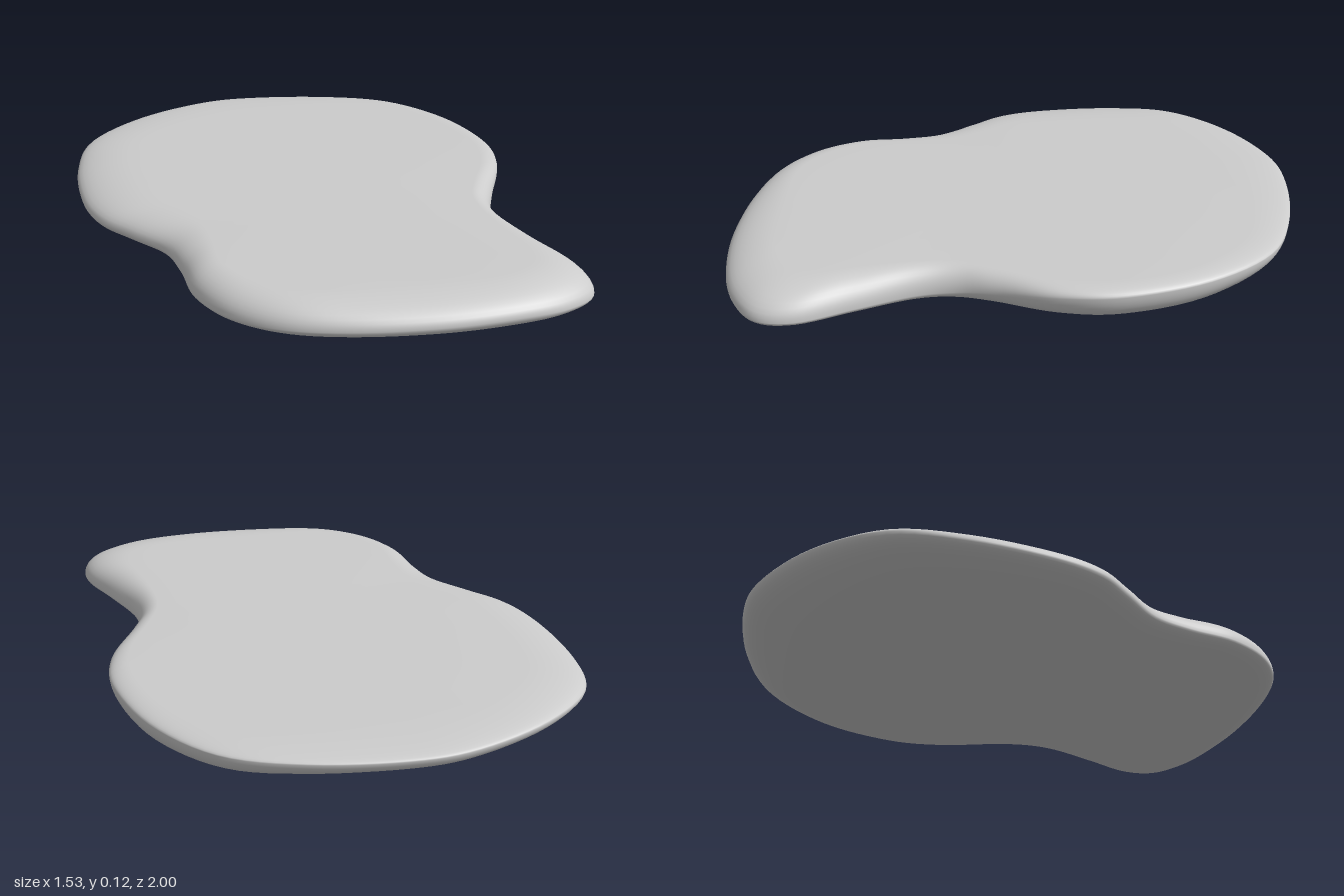
import * as THREE from 'three';

// Rim control points, clockwise seen from above:
// [x, z, rim height, width of top rounding, width of bottom rounding]
const RIM = [
  [-0.12, -1.0, 0.09, 0.22, 0.25], [0.1, -0.98, 0.09, 0.2, 0.24],
  [0.38, -0.88, 0.09, 0.16, 0.19], [0.6, -0.73, 0.09, 0.12, 0.12],
  [0.73, -0.48, 0.09, 0.08, 0.07], [0.765, -0.2, 0.088, 0.07, 0.06],
  [0.715, 0, 0.08, 0.07, 0.06], [0.6, 0.18, 0.055, 0.07, 0.05],
  [0.535, 0.3, 0.035, 0.07, 0.04], [0.52, 0.43, 0.028, 0.08, 0.04],
  [0.555, 0.62, 0.024, 0.13, 0.04], [0.595, 0.8, 0.024, 0.18, 0.05],
  [0.56, 0.92, 0.028, 0.2, 0.05], [0.44, 0.98, 0.036, 0.2, 0.06],
  [0.28, 0.995, 0.045, 0.2, 0.07], [0.05, 0.97, 0.045, 0.18, 0.07],
  [-0.2, 0.9, 0.042, 0.15, 0.07], [-0.4, 0.8, 0.038, 0.12, 0.07],
  [-0.53, 0.66, 0.033, 0.11, 0.07], [-0.59, 0.49, 0.033, 0.11, 0.07],
  [-0.585, 0.32, 0.036, 0.12, 0.08], [-0.6, 0.17, 0.04, 0.14, 0.09],
  [-0.68, 0.02, 0.043, 0.18, 0.1], [-0.75, -0.12, 0.044, 0.2, 0.11],
  [-0.768, -0.3, 0.046, 0.22, 0.12], [-0.73, -0.56, 0.054, 0.22, 0.15],
  [-0.63, -0.78, 0.068, 0.22, 0.19], [-0.4, -0.93, 0.083, 0.22, 0.23],
];
const SEGMENTS = 168, ROUND = 10, FLAT = 8;
const BOTTOM = 0.005, TOP = 0.113, CROWN = 0.005;

function slabGeometry() {
  const closed = (f) => new THREE.CatmullRomCurve3(RIM.map(f), true, 'catmullrom', 0.5);
  const rim = closed(([x, z, y]) => new THREE.Vector3(x, y, z));
  const widths = closed(([, , , t, b]) => new THREE.Vector3(t, b, 0));

  // Cross-section steps from bottom centre, around the rim, to top centre.
  const steps = [];
  for (let k = 0; k < FLAT; k++) steps.push({ side: -1, flat: k / FLAT });
  for (let k = 0; k <= ROUND; k++) steps.push({ side: -1, angle: (1 - k / ROUND) * Math.PI / 2 });
  for (let k = 1; k <= ROUND; k++) steps.push({ side: 1, angle: (k / ROUND) * Math.PI / 2 });
  for (let k = FLAT - 1; k >= 0; k--) steps.push({ side: 1, flat: k / FLAT });

  const positions = [], indices = [];
  for (const { side, flat = 1, angle = Math.PI / 2 } of steps) {
    const level = side > 0 ? TOP : BOTTOM;
    for (let i = 0; i < SEGMENTS; i++) {
      const p = rim.getPoint(i / SEGMENTS), w = widths.getPoint(i / SEGMENTS);
      // Inset heads for the long axis of the slab
      const inward = new THREE.Vector3(-p.x, 0, -0.5 * p.z).normalize();
      const inset = (side > 0 ? w.x : w.y) * (1 - Math.cos(angle));
      const y = p.y + (level - p.y) * Math.sin(angle) + side * CROWN * (1 - flat * flat);
      positions.push((p.x + inward.x * inset) * flat, y, (p.z + inward.z * inset) * flat);
    }
  }
  for (let r = 0; r < steps.length - 1; r++) {
    for (let i = 0; i < SEGMENTS; i++) {
      const j = (i + 1) % SEGMENTS;
      const a = r * SEGMENTS + i, b = r * SEGMENTS + j;
      const c = a + SEGMENTS, d = b + SEGMENTS;
      // Collapsed corners at the two centres need one triangle only
      if (r < steps.length - 2) indices.push(b, c, d);
      if (r > 0) indices.push(a, c, b);
    }
  }
  const geometry = new THREE.BufferGeometry();
  geometry.setAttribute('position', new THREE.Float32BufferAttribute(positions, 3));
  geometry.setIndex(indices);
  geometry.computeVertexNormals();
  return geometry;
}

export function createModel() {
  const group = new THREE.Group();
  group.name = 'slab';
  const body = new THREE.Mesh(slabGeometry(), new THREE.MeshStandardMaterial({ color: 0xcccccc }));
  body.name = 'roundedSlab';
  group.add(body);
  return group;
}
